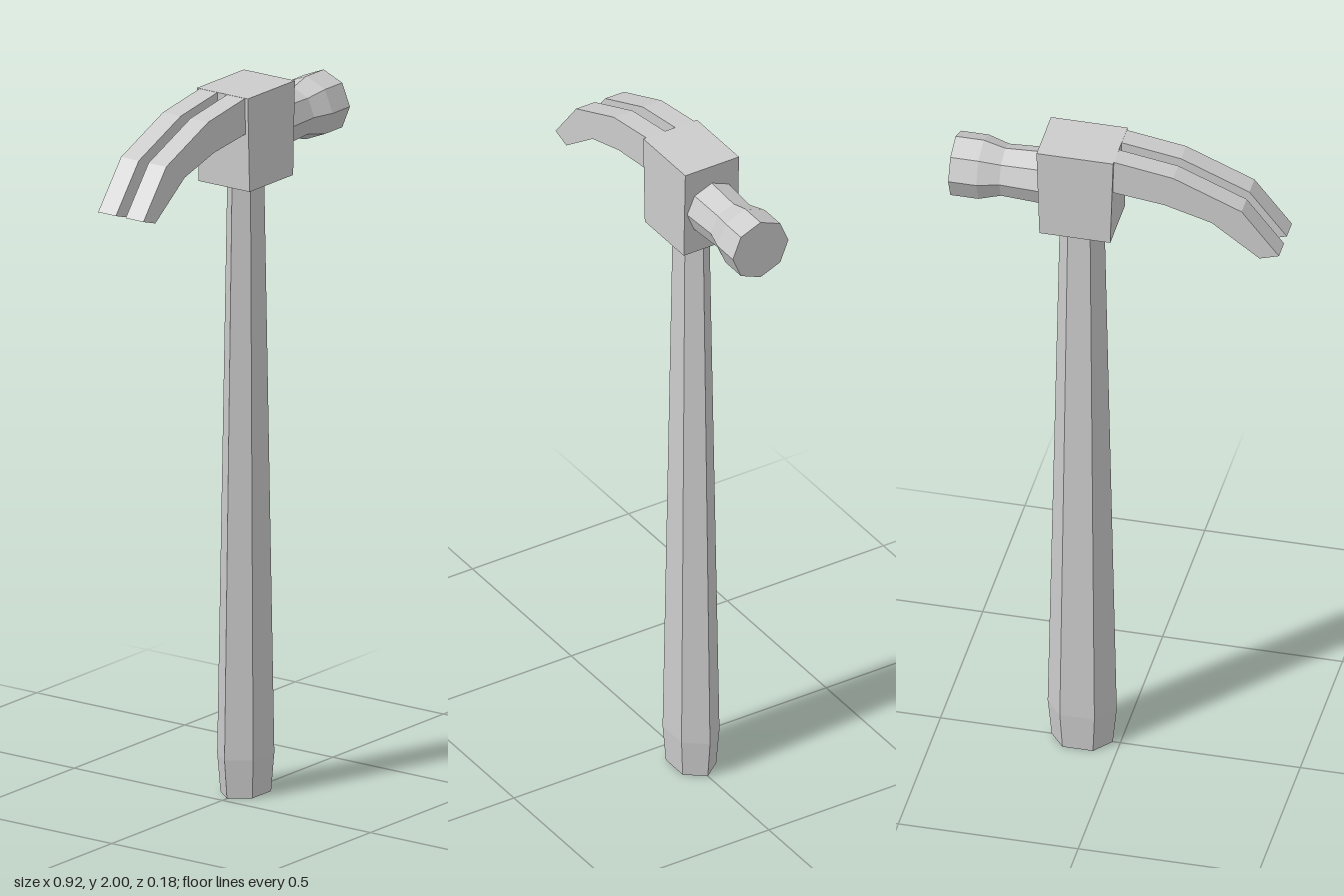
import * as THREE from 'three';

const material = new THREE.MeshStandardMaterial({ color: 0xcccccc, flatShading: true });
const vectors = (points) => points.map(([x, y]) => new THREE.Vector2(x, y));

function addPart(group, name, geometry) {
  const mesh = new THREE.Mesh(geometry, material);
  mesh.name = name;
  group.add(mesh);
  return mesh;
}

// Flat side profile with a given thickness, running from z to z + depth
function slab(points, z, depth) {
  return new THREE.ExtrudeGeometry(new THREE.Shape(vectors(points)), { depth, bevelEnabled: false })
    .translate(0, 0, z);
}

export function createModel() {
  const group = new THREE.Group();
  group.name = 'clawHammer';

  // Tapered six-sided handle, flattened front to back
  const handleProfile = vectors([[0, 0], [0.085, 0], [0.096, 0.11], [0.062, 1.74], [0, 1.74]]);
  const handle = new THREE.LatheGeometry(handleProfile, 6, Math.PI / 2);
  addPart(group, 'handle', handle.scale(1, 1, 0.73)).position.x = 0.106;

  // Head block, slightly narrower at the bottom
  addPart(group, 'headBlock',
    slab([[0.008, 1.735], [0.205, 1.735], [0.213, 2], [0, 2]], -0.086, 0.172));

  // Eight-sided neck and striking face, turned around the x axis
  const pollProfile = vectors([[0, 0.2], [0.078, 0.2], [0.072, 0.32], [0.089, 0.38], [0.089, 0.458], [0, 0.458]]);
  const poll = new THREE.LatheGeometry(pollProfile, 8).rotateZ(-Math.PI / 2);
  addPart(group, 'strikingFace', poll).position.y = 1.867;

  // Two curved claw prongs with a slot between them
  const clawProfile = [
    [0.004, 2], [-0.165, 1.973], [-0.355, 1.893], [-0.459, 1.762],
    [-0.405, 1.745], [-0.272, 1.842], [-0.14, 1.88], [0.004, 1.898],
  ];
  for (const [name, z] of [['leftClawProng', -0.077], ['rightClawProng', 0.016]]) {
    addPart(group, name, slab(clawProfile, z, 0.06));
  }

  return group;
}
